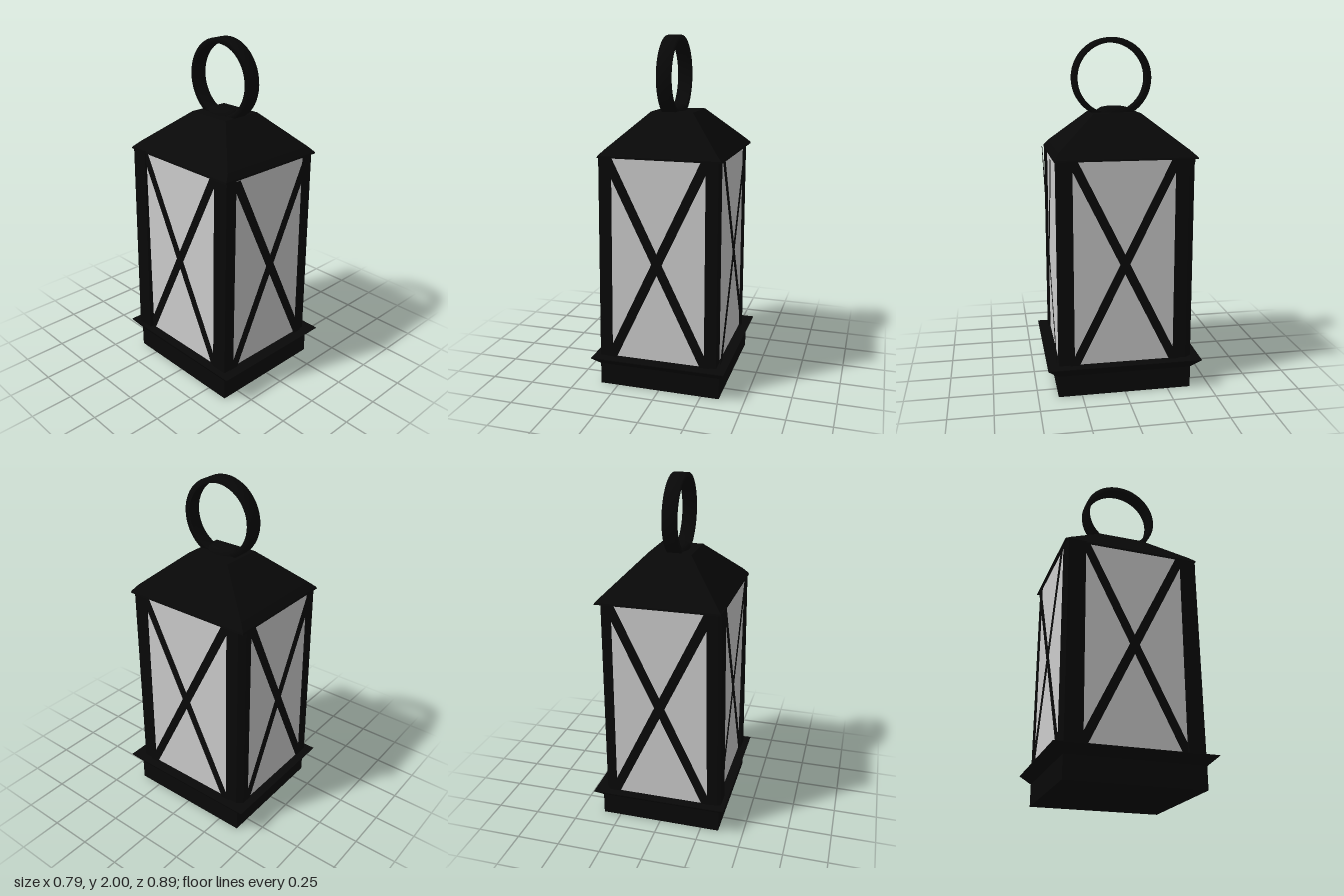
import * as THREE from 'three';

const black = new THREE.MeshStandardMaterial({ color: 0x080808, side: THREE.DoubleSide });
const glass = new THREE.MeshStandardMaterial({ color: 0xcccccc, side: THREE.DoubleSide });

const FLOOR = 0.175;
const HEIGHT = 1.175;

// Flat-sided solid through stacked rectangles [y, x0, x1, z0, z1]
function loft(levels) {
  const rings = levels.map(([y, x0, x1, z0, z1]) => [[x0, y, z1], [x1, y, z1], [x1, y, z0], [x0, y, z0]]);
  const pos = [];
  const quad = (a, b, c, d) => pos.push(...a, ...b, ...c, ...a, ...c, ...d);
  for (let i = 0; i < rings.length - 1; i++) {
    for (let k = 0; k < 4; k++) {
      const n = (k + 1) % 4;
      quad(rings[i][k], rings[i][n], rings[i + 1][n], rings[i + 1][k]);
    }
  }
  quad(...rings[0].slice().reverse());
  quad(...rings[rings.length - 1]);
  const g = new THREE.BufferGeometry();
  g.setAttribute('position', new THREE.Float32BufferAttribute(pos, 3));
  g.computeVertexNormals();
  return g;
}

const polygon = (pts) => new THREE.Shape(pts.map(([x, y]) => new THREE.Vector2(x, y)));
const lathePoints = (pts) => pts.map(([x, y]) => new THREE.Vector2(x, y));

// Two thin diagonal straps, standing on y = 0
function crossGeometry(half, strap) {
  const straps = [1, -1].map((s) => polygon([
    [-s * half - strap, 0], [-s * half + strap, 0],
    [s * half + strap, HEIGHT], [s * half - strap, HEIGHT]
  ]));
  return new THREE.ShapeGeometry(straps);
}

export function createModel() {
  const model = new THREE.Group();
  const add = (name, geometry, material = black, parent = model) => {
    const mesh = new THREE.Mesh(geometry, material);
    mesh.name = name;
    parent.add(mesh);
    return mesh;
  };

  // Plinth with flared rim
  add('base', loft([
    [0, -0.355, 0.355, -0.385, 0.385],
    [0.125, -0.355, 0.355, -0.385, 0.385],
    [0.175, -0.393, 0.393, -0.444, 0.444],
    [0.178, -0.393, 0.393, -0.444, 0.444]
  ]));

  // Corner posts: plan outline [x, z] at the foot, and inward lean
  const posts = [
    ['frontLeftPost', 0, [[0.265, 0.288], [0.335, 0.288], [0.335, 0.376], [0.265, 0.376]]],
    ['frontRightPost', 0.013, [[-0.285, 0.288], [-0.285, 0.384], [-0.355, 0.384], [-0.355, 0.288]]],
    ['backRightPost', 0.017, [[-0.287, -0.285], [-0.368, -0.285], [-0.368, -0.386], [-0.35, -0.396], [-0.287, -0.396]]],
    ['backLeftPost', 0, [[0.265, -0.285], [0.265, -0.396], [0.31, -0.396], [0.335, -0.362], [0.335, -0.285]]]
  ];
  for (const [name, lean, plan] of posts) {
    const geometry = new THREE.ExtrudeGeometry(polygon(plan.map(([x, z]) => [x, -z])), { depth: HEIGHT, bevelEnabled: false });
    geometry.rotateX(-Math.PI / 2);
    const post = add(name, geometry);
    post.position.y = FLOOR;
    post.rotation.z = -lean;
  }

  // Four walls: pane between the posts, straps just outside it
  // [name, pane width, x, z, turn, strap half span, strap half width, strap gap, strap lean]
  const walls = [
    ['frontWall', 0.58, -0.006, 0.371, 0, 0.28, 0.03, 0.015, 0.012],
    ['backWall', 0.58, -0.006, -0.39, Math.PI, 0.28, 0.03, 0.006, 0.008],
    ['leftWall', 0.6, 0.33, 0, Math.PI / 2, 0.29, 0.028, 0.015, 0],
    ['rightWall', 0.6, -0.338, 0, -Math.PI / 2, 0.29, 0.028, 0.007, 0]
  ];
  for (const [name, width, x, z, turn, half, strap, gap, lean] of walls) {
    const wall = new THREE.Group();
    wall.name = name;
    const pane = add('glassPane', new THREE.PlaneGeometry(width, HEIGHT), glass, wall);
    pane.position.y = HEIGHT / 2;
    const cross = add('crossStraps', crossGeometry(half, strap), black, wall);
    cross.position.z = gap;
    cross.rotation.x = lean;
    wall.position.set(x, FLOOR, z);
    wall.rotation.y = turn;
    model.add(wall);
  }

  // Hipped roof with a small eave
  add('roof', loft([
    [1.345, -0.348, 0.355, -0.408, 0.387],
    [1.355, -0.345, 0.352, -0.405, 0.387],
    [1.39, -0.31, 0.318, -0.368, 0.36],
    [1.58, -0.115, 0.13, -0.13, 0.14]
  ]));

  // Low domed mount under the handle
  const dome = [[1, 0], [0.95, 0.018], [0.75, 0.031], [0.4, 0.037], [0, 0.038]];
  const mount = add('handleMount', new THREE.LatheGeometry(lathePoints(dome), 24));
  mount.scale.set(0.062, 1, 0.1);
  mount.position.set(-0.008, 1.577, 0.005);

  // Flat-band ring handle
  const band = [[0.198, -0.04], [0.228, -0.04], [0.228, 0.04], [0.198, 0.04], [0.198, -0.04]];
  const ring = add('ringHandle', new THREE.LatheGeometry(lathePoints(band), 48));
  ring.rotation.z = Math.PI / 2;
  ring.position.set(-0.01, 1.772, 0.018);

  return model;
}
